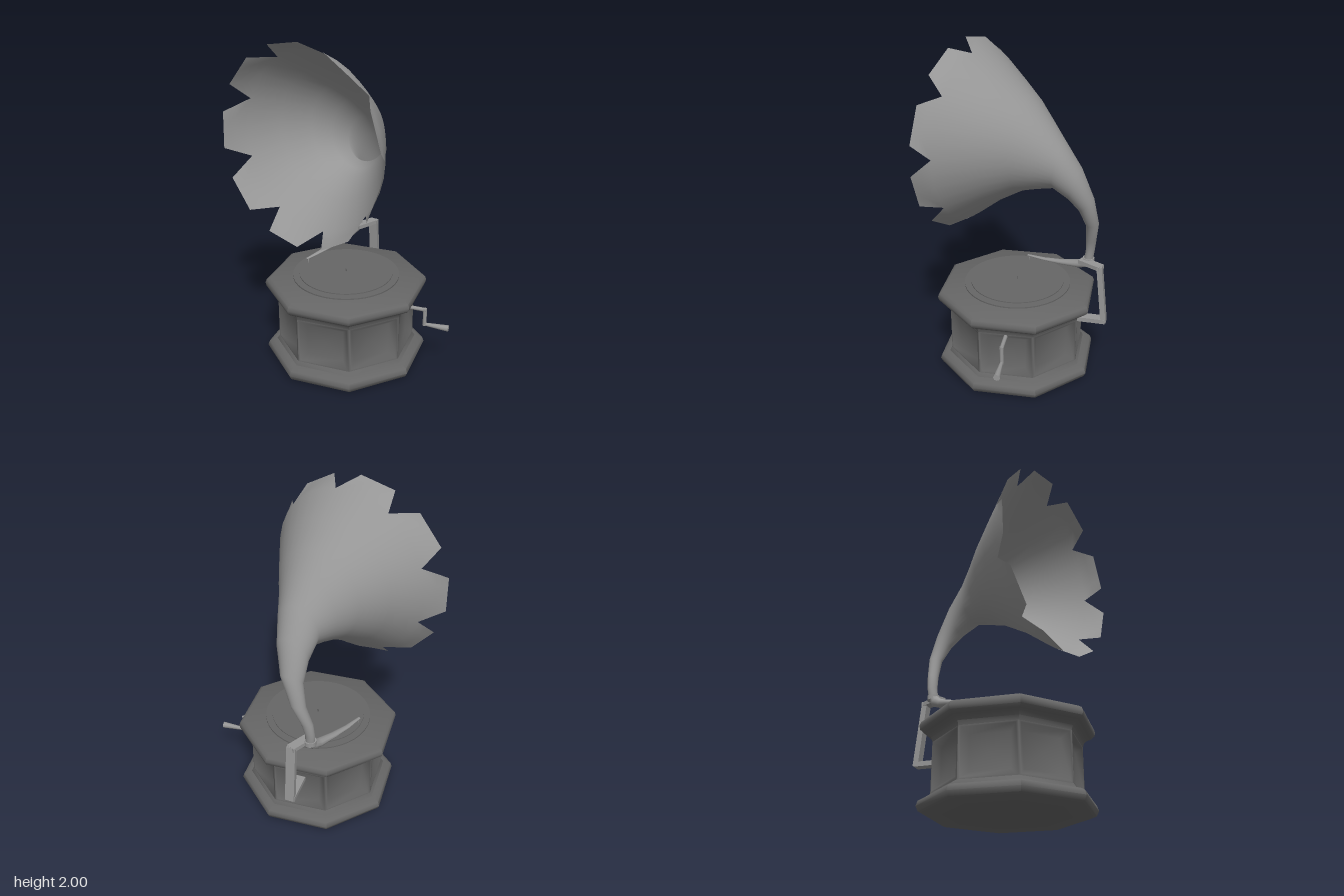
import * as THREE from 'three';
import { mergeGeometries, mergeVertices, toCreasedNormals } from 'three/addons/utils/BufferGeometryUtils.js';

const V = (x, y, z) => new THREE.Vector3(x, y, z);
const dark = new THREE.MeshStandardMaterial({ color: 0x666666 });
const metal = new THREE.MeshStandardMaterial({ color: 0x969696 });
const thinMetal = new THREE.MeshStandardMaterial({ color: 0x969696, side: THREE.DoubleSide });
const CX = -0.015, CZ = 0.015; // centre of the octagonal cabinet

function part(parent, name, geometry, mat) {
  const mesh = new THREE.Mesh(geometry, mat);
  mesh.name = name;
  parent.add(mesh);
  return mesh;
}

// Skin through rows of points; closed rows wrap around
function loft(rows, closed = true) {
  const n = rows[0].length, index = [];
  for (let i = 0; i < rows.length - 1; i++) {
    for (let j = 0; j < (closed ? n : n - 1); j++) {
      const k = (j + 1) % n, a = i * n + j, b = i * n + k;
      index.push(a, b, b + n, a, b + n, a + n);
    }
  }
  const g = new THREE.BufferGeometry().setFromPoints(rows.flat());
  g.setIndex(index);
  g.computeVertexNormals();
  return g;
}

// Point on a tilted ring [x, y, z, radius, upY, upZ, yaw]
function ringPoint([x, y, z, r, uy, uz, yaw], a, scale = 1) {
  const c = Math.cos(a) * scale, s = Math.sin(a) * scale;
  return V(x + c * r, y + s * uy, z - c * r * yaw + s * uz);
}
const ring = (data, n) => Array.from({ length: n }, (_, j) => ringPoint(data, (j / n) * Math.PI * 2));

function rod(parent, name, a, b, r0, r1 = r0, mat = metal) {
  const m = part(parent, name, new THREE.CylinderGeometry(r1, r0, a.distanceTo(b), 8), mat);
  m.position.lerpVectors(a, b, 0.5);
  m.quaternion.setFromUnitVectors(V(0, 1, 0), b.clone().sub(a).normalize());
}

function bar(parent, name, a, b, w, h) {
  const m = part(parent, name, new THREE.BoxGeometry(w, h, a.distanceTo(b) + 0.02), metal);
  m.position.lerpVectors(a, b, 0.5);
  m.lookAt(b);
}

function octagon(parent, name, profile) {
  const g = new THREE.LatheGeometry(profile.map(p => new THREE.Vector2(...p)), 8);
  part(parent, name, toCreasedNormals(g, 0.74), dark);
}

function buildCabinet() {
  const cabinet = new THREE.Group();
  cabinet.name = 'cabinet';
  cabinet.position.set(CX, 0, CZ);
  octagon(cabinet, 'plinth', [[0, 0.005], [0.455, 0.005], [0.482, 0.018], [0.495, 0.045],
    [0.485, 0.073], [0.46, 0.086], [0.435, 0.092], [0.42, 0.115], [0.36, 0.115]]);
  octagon(cabinet, 'lid', [[0.36, 0.4], [0.42, 0.4], [0.428, 0.425], [0.45, 0.447],
    [0.472, 0.452], [0.49, 0.468], [0.495, 0.49], [0.487, 0.512], [0.465, 0.525], [0, 0.525]]);
  // Softly hollowed side panels
  const apothem = 0.42 * Math.cos(Math.PI / 8), half = 0.42 * Math.sin(Math.PI / 8);
  const rect = (w, y0, y1, z) => [V(-w, y0, z), V(w, y0, z), V(w, y1, z), V(-w, y1, z)];
  const panel = loft([
    rect(half, 0.11, 0.405, apothem), rect(half - 0.015, 0.125, 0.39, apothem),
    rect(half - 0.05, 0.16, 0.355, apothem - 0.035), rect(0, 0.26, 0.26, apothem - 0.035),
  ]);
  for (let i = 0; i < 8; i++) {
    part(cabinet, 'sidePanel', panel, dark).rotation.y = (i + 0.5) * Math.PI / 4;
  }
  return cabinet;
}

function buildTurntable() {
  const table = new THREE.Group();
  table.name = 'turntable';
  table.position.set(CX, 0, CZ);
  const disc = (name, r, h, y) => {
    part(table, name, new THREE.CylinderGeometry(r, r, h, 40), dark).position.y = y;
  };
  disc('hub', 0.12, 0.02, 0.53);
  disc('platter', 0.325, 0.008, 0.544);
  disc('record', 0.285, 0.006, 0.555);
  rod(table, 'spindle', V(0, 0.55, 0), V(0, 0.576, 0), 0.005, 0.003, dark);
  return table;
}

function buildHorn() {
  const horn = new THREE.Group();
  horn.name = 'horn';
  const rings = [
    [-0.25, 0.69, -0.348, 0.028, -0.004, -0.026, 0],
    [-0.255, 0.75, -0.355, 0.031, -0.002, -0.026, 0],
    [-0.243, 0.83, -0.365, 0.034, 0, -0.031, 0.05],
    [-0.2, 0.957, -0.39, 0.042, 0.008, -0.04, 0.15],
    [-0.145, 1.1, -0.375, 0.062, 0.042, -0.045, 0.25],
    [-0.105, 1.232, -0.318, 0.092, 0.098, -0.032, 0.25],
    [-0.072, 1.338, -0.231, 0.125, 0.138, -0.024, 0.2],
    [-0.06, 1.39, -0.135, 0.188, 0.207, -0.015, 0.13],
    [-0.05, 1.435, -0.035, 0.264, 0.275, -0.006, 0.1],
    [-0.037, 1.447, 0.115, 0.376, 0.378, -0.01, 0.08],
    [-0.022, 1.44, 0.28, 0.5, 0.505, -0.015, 0.06],
  ];
  const rim = [-0.035, 1.43, 0.39, 0.572, 0.572, -0.02, 0.07];
  const pieces = [loft(rings.map(r => ring(r, 36)))];
  // Nine petals with straight outer edges and V notches between
  const base = rings[rings.length - 1], deg = Math.PI / 180;
  for (let p = 0; p < 9; p++) {
    const inner = [], outer = [];
    for (let j = 0; j < 5; j++) {
      const off = (j - 2) * 5.5 * deg, mid = (p * 40 + 20) * deg;
      inner.push(ringPoint(base, (p * 40 + j * 10) * deg));
      outer.push(ringPoint(rim, mid + off, Math.cos(11 * deg) / Math.cos(off)));
    }
    const middle = inner.map((v, j) => v.clone().lerp(outer[j], 0.5));
    pieces.push(loft([inner, middle, outer], false));
  }
  pieces.forEach(g => g.deleteAttribute('normal'));
  const bell = mergeVertices(mergeGeometries(pieces), 1e-5);
  bell.computeVertexNormals();
  part(horn, 'bell', bell, thinMetal);
  return horn;
}

function buildToneArm() {
  const arm = new THREE.Group();
  arm.name = 'toneArm';
  const rings = [
    [-0.25, 0.7, -0.35, 0.028, 0.01, 0.026, 0],
    [-0.252, 0.662, -0.325, 0.032, 0.022, 0.022, 0],
    [-0.256, 0.641, -0.28, 0.03, 0.024, 0.008, 0],
    [-0.262, 0.613, -0.15, 0.023, 0.014, 0.003, 0],
    [-0.268, 0.594, -0.02, 0.016, 0.007, 0.001, 0],
    [-0.27, 0.586, 0.1, 0.009, 0.004, 0, 0],
    [-0.27, 0.586, 0.1, 0, 0, 0, 0],
  ];
  part(arm, 'taperedArm', loft(rings.map(r => ring(r, 10))), thinMetal);
  rod(arm, 'needle', V(-0.27, 0.586, 0.085), V(-0.27, 0.558, 0.09), 0.003);
  return arm;
}

function buildBracket() {
  const bracket = new THREE.Group();
  bracket.name = 'hornBracket';
  const low = V(-0.212, 0.327, -0.488), high = V(-0.2, 0.687, -0.452);
  bar(bracket, 'lowerBar', V(-0.155, 0.327, -0.33), low, 0.06, 0.028);
  bar(bracket, 'upright', low, high, 0.055, 0.032);
  bar(bracket, 'upperBar', high, V(-0.22, 0.687, -0.32), 0.055, 0.025);
  const collar = part(bracket, 'collar', new THREE.CylinderGeometry(0.036, 0.036, 0.028, 12), metal);
  collar.position.set(-0.25, 0.69, -0.348);
  return bracket;
}

function buildCrank() {
  const crank = new THREE.Group();
  crank.name = 'crank';
  // Local +x points out of the back side face
  crank.position.set(CX, 0, CZ);
  crank.rotation.y = Math.PI / 8;
  rod(crank, 'axle', V(0.33, 0.387, 0), V(0.512, 0.387, 0), 0.012);
  rod(crank, 'lever', V(0.505, 0.395, 0), V(0.505, 0.28, 0), 0.012);
  rod(crank, 'handle', V(0.495, 0.288, 0), V(0.652, 0.288, 0), 0.009, 0.02);
  return crank;
}

export function createModel() {
  const model = new THREE.Group();
  model.name = 'hornRecordPlayer';
  model.add(buildCabinet(), buildTurntable(), buildHorn(), buildToneArm(), buildBracket(), buildCrank());
  return model;
}
